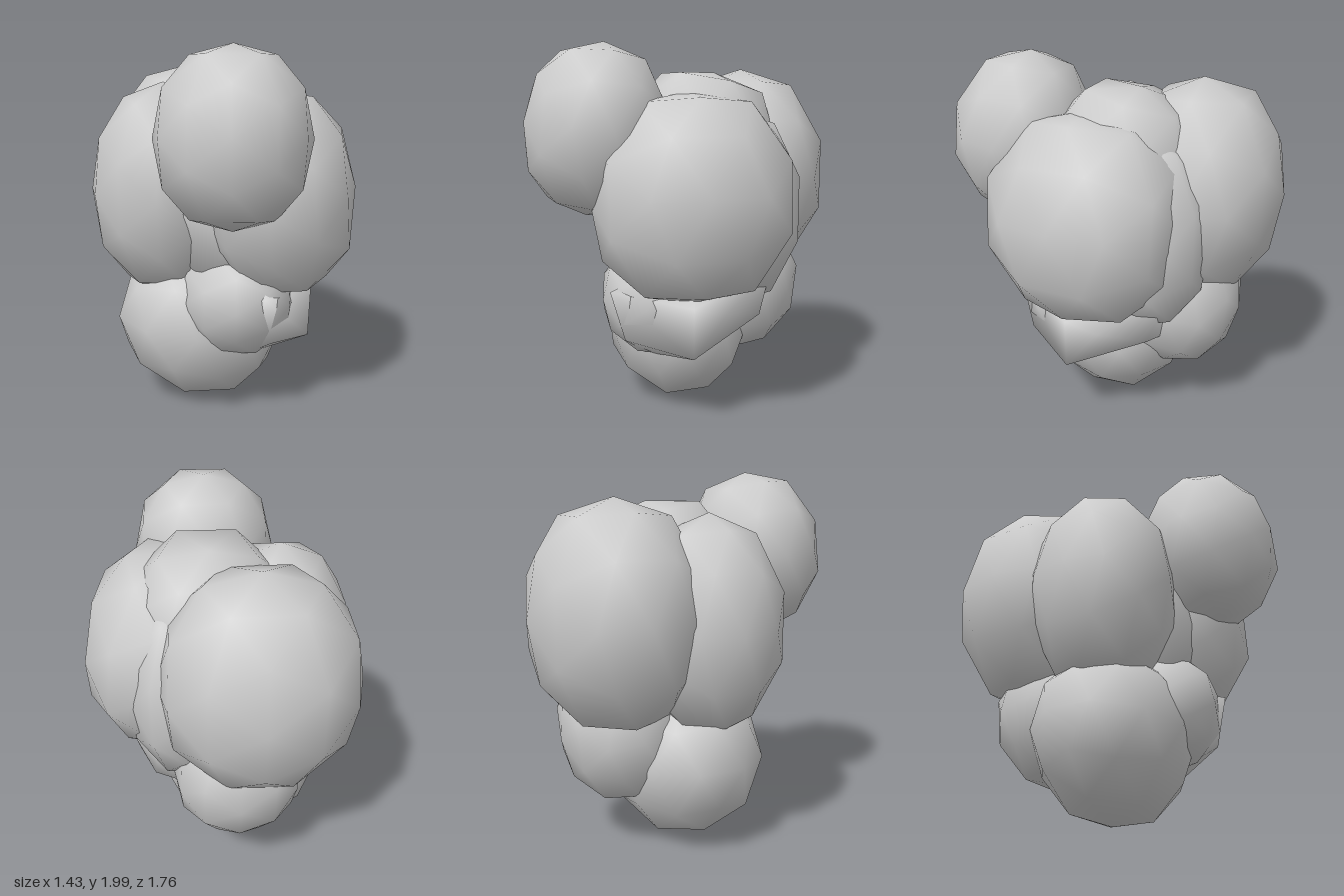
import * as THREE from 'three';
import { mergeVertices } from 'three/addons/utils/BufferGeometryUtils.js';
import { ConvexGeometry } from 'three/addons/geometries/ConvexGeometry.js';

const material = new THREE.MeshStandardMaterial({ color: 0xcccccc });

// Weld the corners so that the coarse facets shade smoothly
function smooth(geometry) {
  geometry.deleteAttribute('normal');
  geometry.deleteAttribute('uv');
  const welded = mergeVertices(geometry, 1e-4);
  welded.computeVertexNormals();
  return welded;
}

// Coarse ellipsoid; a power above 2 makes it fuller towards the corners
function lump(name, center, radii, power, tilt = [0, 0, 0]) {
  const geometry = smooth(new THREE.IcosahedronGeometry(1, 1));
  const p = geometry.attributes.position;
  const v = new THREE.Vector3();
  for (let i = 0; i < p.count; i++) {
    v.fromBufferAttribute(p, i);
    const size = [v.x, v.y, v.z].reduce((s, c) => s + Math.abs(c) ** power, 0) ** (1 / power);
    v.divideScalar(size);
    p.setXYZ(i, v.x * radii[0], v.y * radii[1], v.z * radii[2]);
  }
  geometry.computeVertexNormals();
  const mesh = new THREE.Mesh(geometry, material);
  mesh.name = name;
  mesh.position.set(...center);
  mesh.rotation.set(...tilt);
  return mesh;
}

export function createModel() {
  const group = new THREE.Group();
  group.name = 'lumpCluster';

  // Upper lumps around a mostly hidden core
  group.add(
    lump('frontTopLump', [0.05, 1.55, 0.51], [0.39, 0.45, 0.37], 2.25, [-0.12, 0, 0]),
    lump('leftLump', [0.28, 1.2, 0.06], [0.43, 0.55, 0.53], 2.5, [0, -0.12, 0.1]),
    lump('rightLump', [-0.33, 1.21, 0.04], [0.4, 0.58, 0.4], 2.1),
    lump('backLump', [-0.19, 1.27, -0.42], [0.52, 0.6, 0.46], 2.25),
    lump('core', [0.05, 1.26, -0.02], [0.44, 0.6, 0.43], 2.8, [-0.22, 0, 0]),
    lump('backSeamLump', [0.19, 1.12, -0.2], [0.3, 0.53, 0.38], 2.4),
  );

  // Lower lumps
  group.add(
    lump('baseLump', [-0.14, 0.46, 0], [0.47, 0.44, 0.4], 2.15, [0, 0, -0.6]),
    lump('lowerBackLump', [-0.09, 0.65, -0.36], [0.35, 0.39, 0.34], 2.35, [-0.12, 0, 0]),
    lump('lowerFrontLump', [0.07, 0.64, 0.15], [0.32, 0.32, 0.34], 2.3),
  );

  // Angular lump that juts out low on the left side
  const corners = [
    [0.47, 0.39, 0.12], [0.48, 0.66, 0.12], [0.48, 0.62, -0.06], [0.14, 0.34, 0.26],
    [0.14, 0.37, -0.1], [0.25, 0.46, 0.42], [0.22, 0.72, 0.49], [0.36, 0.56, -0.3],
    [0.33, 0.8, -0.38], [0.2, 0.52, -0.34], [0, 0.6, 0.1], [0.2, 0.9, 0],
  ].map((c) => new THREE.Vector3(...c));
  const wedge = new THREE.Mesh(smooth(new ConvexGeometry(corners)), material);
  wedge.name = 'lowerLeftWedge';
  group.add(wedge);

  return group;
}
